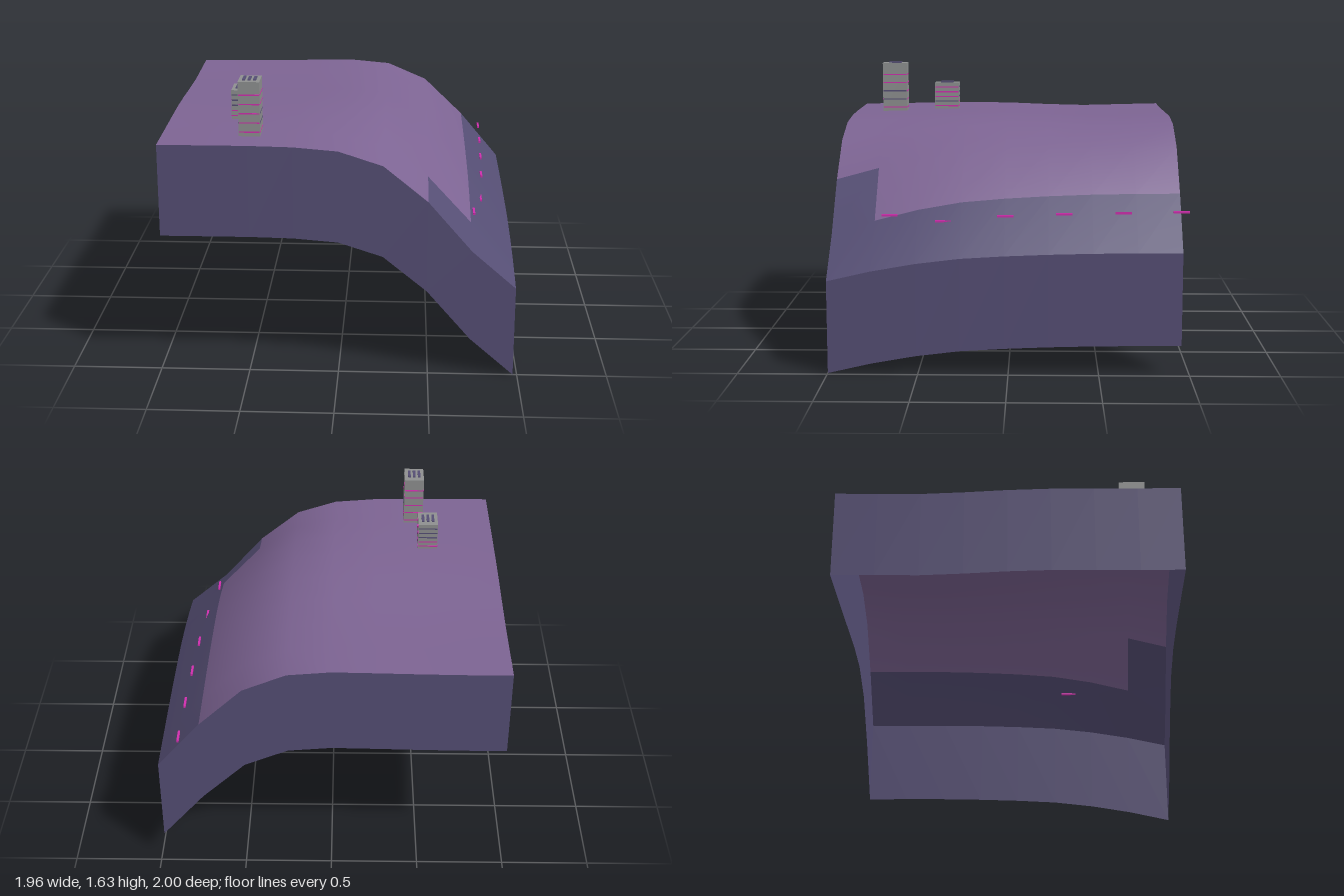
import * as THREE from 'three';

const mat = (name, color, side = THREE.FrontSide) => {
  const m = new THREE.MeshStandardMaterial({ color, side });
  m.name = name;
  return m;
};

// Height profiles across x at the front and back, and how they blend along z
const FRONT = [1.325, 1.325, 1.325, 1.32, 1.3, 1.22, 1.02, 0.738, 0.525];
const BACK = [1.33, 1.33, 1.333, 1.338, 1.342, 1.32, 1.215, 0.98, 0.69];
const BLEND = [0, 0.34, 0.6, 0.78, 0.87, 0.93, 0.97, 0.99, 1];
const SWELL = [0, 0.002, 0.005, 0.008, 0.004, -0.006, -0.012, -0.006, 0];
const N = 8, STEP = 0.2444, DEPTH = 0.52;

// Grid point: i runs along +x, j runs from the front to the back
function point(i, j) {
  const y = FRONT[i] + (BACK[i] - FRONT[i]) * BLEND[j] + (i < 6 ? SWELL[j] : 0);
  return [-0.978 + i * STEP, y, 1 - j * STEP];
}

export function createModel() {
  const model = new THREE.Group();
  const purple = mat('purple ground', 0x7d6493, THREE.DoubleSide);
  const slate = mat('slate', 0x554e74, THREE.DoubleSide);
  const grey = mat('grey concrete', 0x8e9090);
  const pink = mat('pink light', 0xd02eae);

  const add = (parent, geometry, material, name, x = 0, y = 0, z = 0) => {
    const mesh = new THREE.Mesh(geometry, material);
    mesh.name = name;
    mesh.position.set(x, y, z);
    parent.add(mesh);
    return mesh;
  };

  // Smooth ground sheet: purple plateau, slate lower slope with one corner cell
  const positions = [], plateau = [], slope = [];
  for (let j = 0; j <= N; j++) for (let i = 0; i <= N; i++) positions.push(...point(i, j));
  for (let j = 0; j < N; j++) {
    for (let i = 0; i < N; i++) {
      const a = j * (N + 1) + i, b = a + 1, c = a + N + 1, d = c + 1;
      const isSlope = i === 7 || (i === 6 && j === 0);
      (isSlope ? slope : plateau).push(a, b, c, b, d, c);
    }
  }
  const ground = new THREE.BufferGeometry();
  ground.setAttribute('position', new THREE.Float32BufferAttribute(positions, 3));
  ground.setIndex([...plateau, ...slope]);
  ground.addGroup(0, plateau.length, 0);
  ground.addGroup(plateau.length, slope.length, 1);
  ground.computeVertexNormals();
  add(model, ground, [purple, slate], 'ground');

  // Skirt walls hang a constant depth below the edge; the underside is open
  const edge = [];
  for (let k = 0; k < N; k++) edge.push(point(k, 0));
  for (let k = 0; k < N; k++) edge.push(point(N, k));
  for (let k = N; k > 0; k--) edge.push(point(k, N));
  for (let k = N; k > 0; k--) edge.push(point(0, k));
  const wall = [];
  edge.forEach((p, k) => {
    const q = edge[(k + 1) % edge.length];
    const p0 = [p[0], p[1] - DEPTH, p[2]], q0 = [q[0], q[1] - DEPTH, q[2]];
    wall.push(...p0, ...q0, ...q, ...p0, ...q, ...p);
  });
  const skirt = new THREE.BufferGeometry();
  skirt.setAttribute('position', new THREE.Float32BufferAttribute(wall, 3));
  skirt.computeVertexNormals();
  add(model, skirt, slate, 'skirtWalls');

  // Towers with thin window bands on each face and three roof vents
  const W = 0.118, D = 0.153, BASE = 1.315;
  function tower(name, x, z, top, bands) {
    const g = new THREE.Group();
    g.name = name;
    g.position.set(x, 0, z);
    model.add(g);
    add(g, new THREE.BoxGeometry(W, top - BASE, D), grey, 'towerBody', 0, (top + BASE) / 2, 0);
    for (const [y, frontLit, sideLit] of bands) {
      for (const s of [-1, 1]) {
        add(g, new THREE.BoxGeometry(W * 0.96, 0.007, 0.002), frontLit ? pink : slate,
          'windowBand', 0, y, s * D / 2);
        add(g, new THREE.BoxGeometry(0.002, 0.007, D * 0.96), sideLit ? pink : slate,
          'windowBand', s * W / 2, y, 0);
      }
    }
    for (const k of [-1, 0, 1]) {
      add(g, new THREE.BoxGeometry(0.016, 0.007, 0.08), slate, 'roofVent', k * 0.03, top + 0.003, 0);
    }
  }
  tower('tallTower', -0.493, 0.753, 1.633,
    [[1.56, 1, 1], [1.508, 1, 1], [1.456, 1, 0], [1.404, 1, 0], [1.352, 1, 1]]);
  tower('shortTower', -0.57, 0.427, 1.502,
    [[1.474, 0, 1], [1.444, 0, 1], [1.414, 0, 1], [1.384, 1, 0], [1.354, 1, 1]]);

  // Row of pink dashes along the slope
  const dashes = [[0.85, 0.895, -0.955], [0.844, 0.888, -0.635], [0.836, 0.878, -0.308],
    [0.824, 0.864, 0.018], [0.805, 0.831, 0.365], [0.752, 0.855, 0.67]];
  for (const [x, y, z] of dashes) {
    add(model, new THREE.BoxGeometry(0.012, 0.012, 0.09), pink, 'laneDash', x, y, z);
  }
  return model;
}
